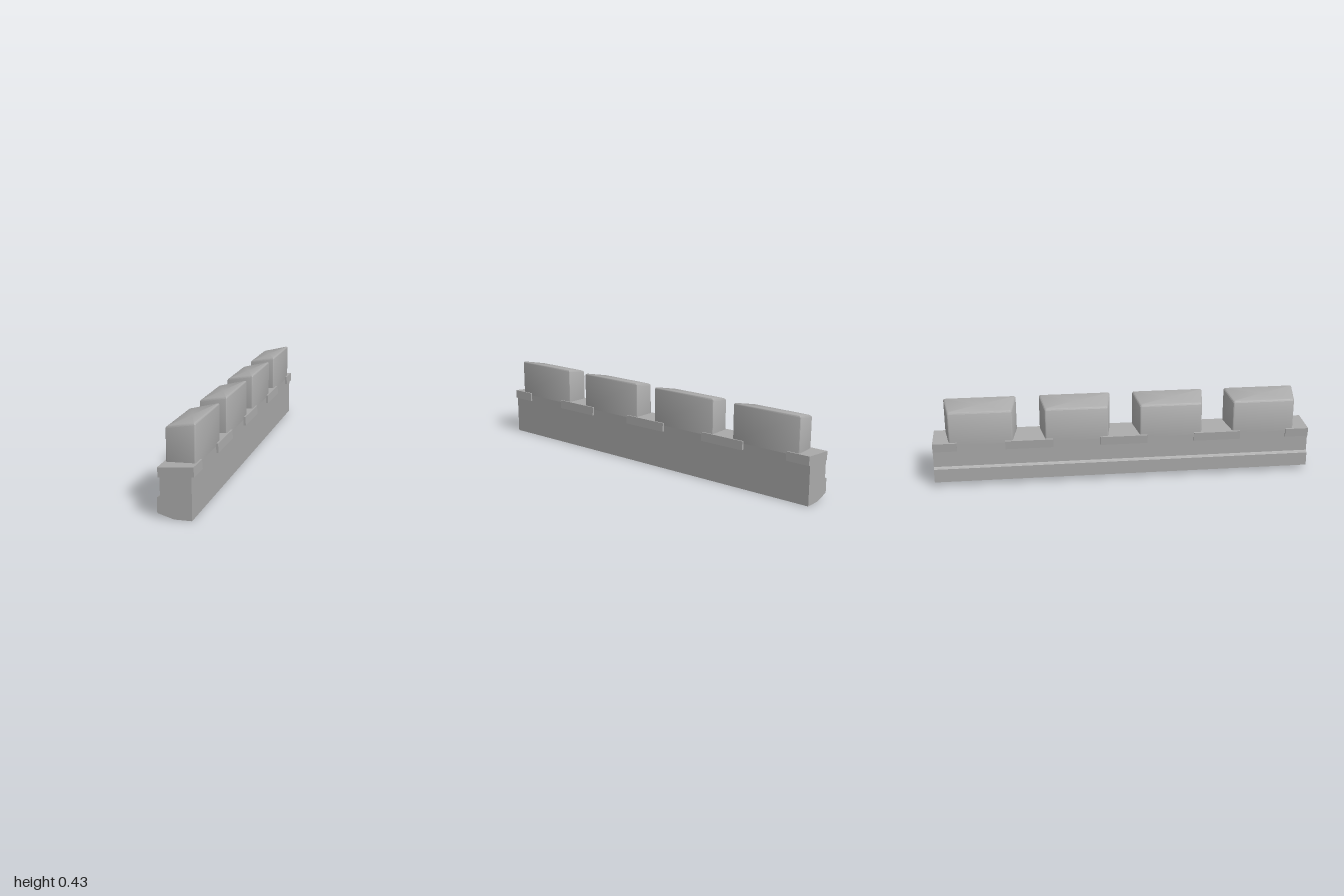
import * as THREE from 'three';
import { toCreasedNormals } from 'three/addons/utils/BufferGeometryUtils.js';

const stone = new THREE.MeshStandardMaterial({ color: 0xaaaaaa });
stone.name = 'grey stone';

// Extrude an (x, y) profile along z, centred on z = 0
function extrudeProfile(points, length) {
  const shape = new THREE.Shape(points.map(([x, y]) => new THREE.Vector2(x, y)));
  const geo = new THREE.ExtrudeGeometry(shape, { depth: length, bevelEnabled: false });
  geo.translate(0, 0, -length / 2);
  return toCreasedNormals(geo, 0.5);
}

// Rounded trapezoid plan of a merlon as [x, z] points, wider on the +x side
function merlonPlan(inset) {
  const corners = [
    [-0.073 + inset * 1.2, -0.165 + inset], [-0.073 + inset * 1.2, 0.165 - inset],
    [0.075 - inset * 0.8, 0.19 - inset], [0.075 - inset * 0.8, -0.19 + inset],
  ].map(([x, z]) => new THREE.Vector2(x, z));
  const points = [];
  corners.forEach((c, i) => {
    const towards = (o) => c.clone().add(o.clone().sub(c).setLength(0.008));
    const curve = new THREE.QuadraticBezierCurve(
      towards(corners[(i + 3) % 4]), c, towards(corners[(i + 1) % 4]));
    points.push(...curve.getPoints(4));
  });
  return points;
}

const wallTop = (x) => 0.229 + x * 0.08;
const merlonTop = (x) => 0.4155 + x * 0.22;

// Merlon: stacked plan rings with a softened, sloping top
function merlonGeometry() {
  const rings = [
    { inset: 0, y: wallTop },
    { inset: 0, y: (x) => merlonTop(x) - 0.009 },
    { inset: 0.0025, y: (x) => merlonTop(x) - 0.0035 },
    { inset: 0.008, y: merlonTop },
  ].map(({ inset, y }) => merlonPlan(inset).map((p) => [p.x, y(p.x), p.y]));
  const n = rings[0].length;
  const positions = rings.flat(2);
  const index = [];
  for (let r = 0; r < rings.length - 1; r++) {
    for (let i = 0; i < n; i++) {
      const a = r * n + i, b = r * n + (i + 1) % n;
      index.push(a, b, b + n, a, b + n, a + n);
    }
  }
  // Sloping top face
  const base = (rings.length - 1) * n, centre = rings.length * n;
  positions.push(0, merlonTop(0), 0);
  for (let i = 0; i < n; i++) index.push(base + i, base + (i + 1) % n, centre);
  const geo = new THREE.BufferGeometry();
  geo.setAttribute('position', new THREE.Float32BufferAttribute(positions, 3));
  geo.setIndex(index);
  return toCreasedNormals(geo, 0.7);
}

export function createModel() {
  const model = new THREE.Group();
  model.name = 'battlement';
  const add = (name, geo, z = 0) => {
    const mesh = new THREE.Mesh(geo, stone);
    mesh.name = name;
    mesh.position.z = z;
    model.add(mesh);
  };

  // Wall with a stepped plinth and chamfered underside on -x
  add('wall', extrudeProfile([
    [-0.01, 0], [0.075, 0], [0.075, wallTop(0.075)], [-0.073, wallTop(-0.073)],
    [-0.073, 0.105], [-0.076, 0.102], [-0.085, 0.098], [-0.087, 0.095], [-0.087, 0.023],
  ], 2));

  // Slightly tilted coping slabs in the gaps, halved at the two ends
  const coping = [[-0.081, 0.19], [0.087, 0.204], [0.084, 0.249], [-0.084, 0.235]];
  const full = extrudeProfile(coping, 0.25), half = extrudeProfile(coping, 0.125);
  for (const z of [-0.5, 0, 0.5]) add('coping', full, z);
  for (const s of [-1, 1]) add('endCoping', half, s * 0.9375);

  const merlon = merlonGeometry();
  for (const z of [-0.75, -0.25, 0.25, 0.75]) add('merlon', merlon, z);
  return model;
}
